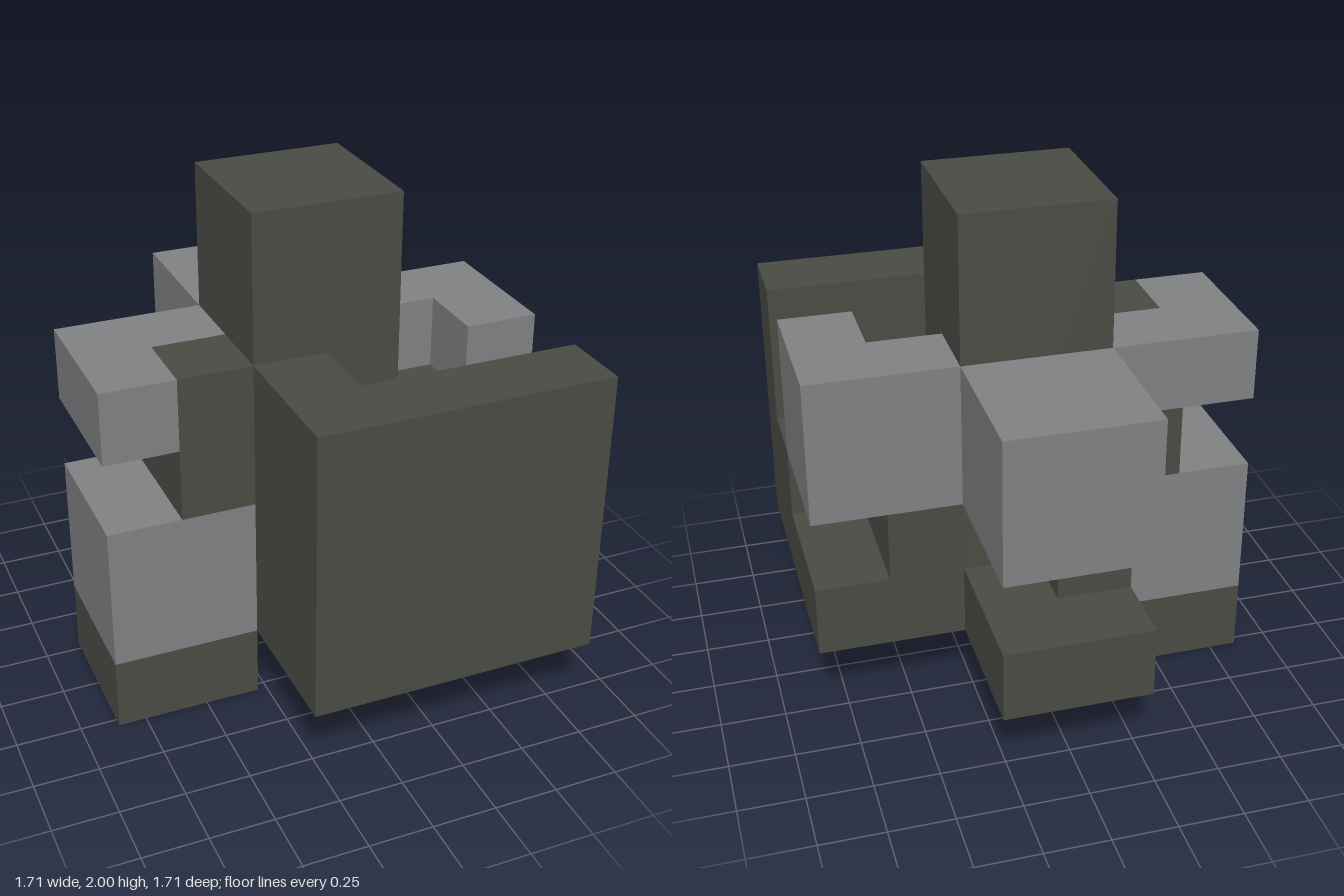
import * as THREE from 'three';

const U = 2 / 7; // one block of the grid

export function createModel() {
  const model = new THREE.Group();
  model.name = 'blockFigure';
  const dark = new THREE.MeshStandardMaterial({ color: 0x4b4b45 });
  dark.name = 'darkStone';
  const grey = new THREE.MeshStandardMaterial({ color: 0x808183 });
  grey.name = 'lightStone';

  // Box between two corners, in block units
  const block = (group, material, x0, x1, y0, y1, z0, z1) => {
    const mesh = new THREE.Mesh(
      new THREE.BoxGeometry((x1 - x0) * U, (y1 - y0) * U, (z1 - z0) * U), material);
    mesh.position.set((x0 + x1) / 2 * U, (y0 + y1) / 2 * U, (z0 + z1) / 2 * U);
    mesh.name = group.name + 'Block' + (group.children.length + 1);
    group.add(mesh);
  };
  const part = (name, material, boxes) => {
    const group = new THREE.Group();
    group.name = name;
    boxes.forEach((b) => block(group, material, ...b));
    model.add(group);
  };

  // Central pillar, from the base to the top
  part('pillar', dark, [[-1, 1, 1, 7, -1, 1]]);

  // Front wall with the steps behind it
  part('frontWall', dark, [[-1, 3, 1, 5, 2, 3]]);
  part('wallSteps', dark, [
    [-1, 0, 1, 5, 1, 2],
    [0, 2, 1, 4, 1, 2],
    [2, 3, 1, 3, 1, 2],
  ]);

  // Low base reaching to the left and to the back
  part('leftBase', dark, [[1, 3, 1, 2, -1, 1], [1, 2, 2, 3, -1, 1]]);
  part('backBase', dark, [[-1, 1, 1, 2, -3, -1], [-1, 0, 2, 3, -2, -1]]);

  // Light blocks around the pillar
  part('backBlock', grey, [[-1, 1, 3, 5, -3, -1]]);
  part('leftBlock', grey, [[1, 3, 3, 5, -1, 0], [2, 3, 3, 5, 0, 1]]);
  part('leftNotchFloor', dark, [[1, 2, 3, 4, 0, 1]]);

  // Right side: dark core with a light cap wrapped round it
  part('rightCore', dark, [[-2, -1, 3, 4, -1, 0], [-2, -1, 3, 5, 0, 1]]);
  part('rightCap', grey, [[-3, -1, 4, 5, -1, 0], [-3, -2, 4, 5, 0, 1]]);

  // Right leg and its foot
  part('rightLeg', grey, [[-3, -1, 1, 3, -1, 1]]);
  part('rightFoot', dark, [[-3, -1, 0, 1, -1, 1]]);

  return model;
}
